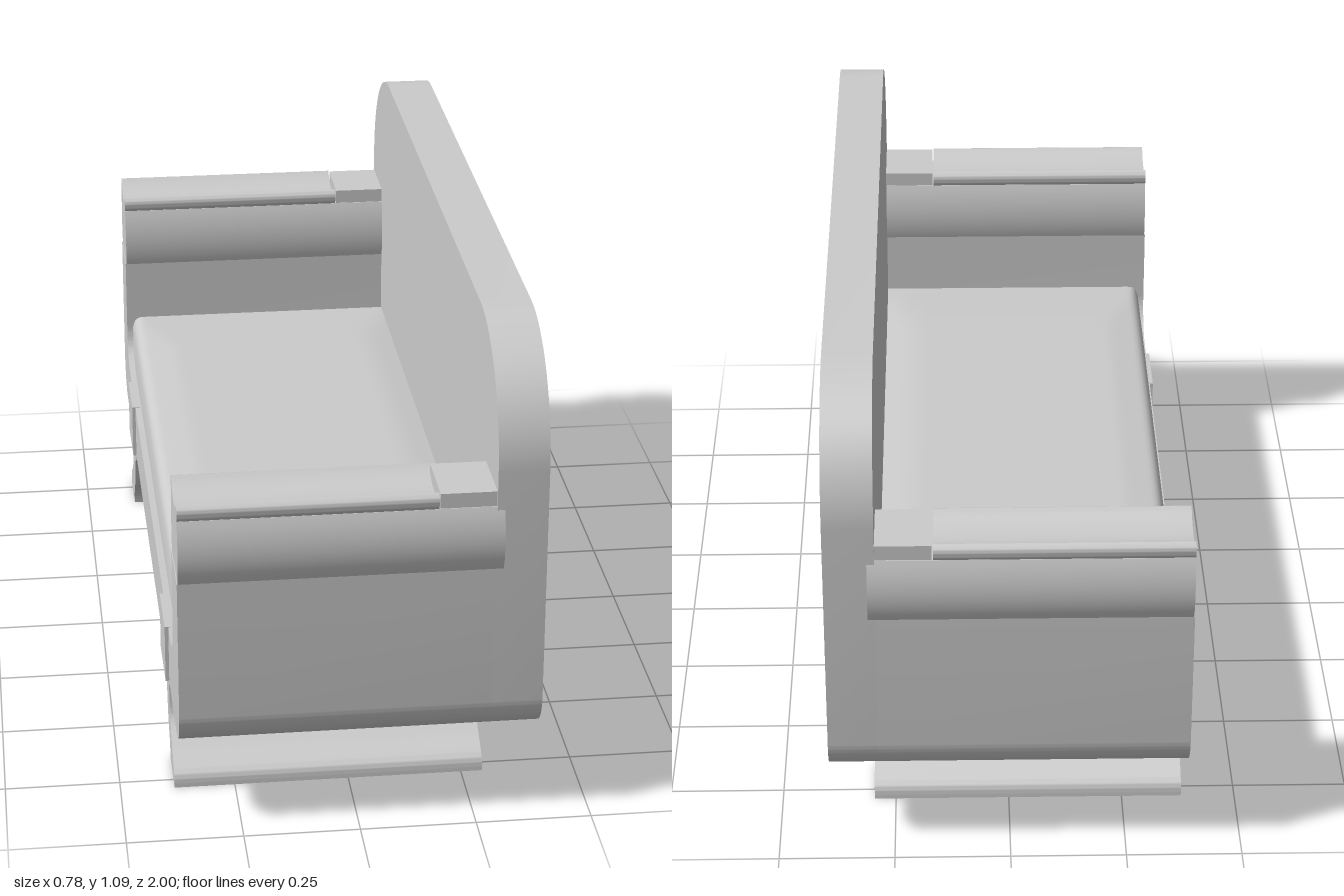
import * as THREE from 'three';
import { toCreasedNormals, mergeVertices } from 'three/addons/utils/BufferGeometryUtils.js';

const material = new THREE.MeshStandardMaterial({ color: 0xcccccc });

// Extrudes a cross-section drawn in (z, y) along x from x0 to x1
function extrudeX(name, shape, x0, x1) {
  const geo = new THREE.ExtrudeGeometry(shape, { depth: x1 - x0, bevelEnabled: false, curveSegments: 14 });
  geo.rotateY(Math.PI / 2).translate(x0, 0, 0);
  const mesh = new THREE.Mesh(toCreasedNormals(geo, 0.6), material);
  mesh.name = name;
  return mesh;
}

// Rounded panel, with separate radii for the top and bottom corners
function panelShape(w, y0, y1, rTop, rBottom) {
  const s = new THREE.Shape();
  s.moveTo(-w + rBottom, y0);
  s.lineTo(w - rBottom, y0);
  s.absarc(w - rBottom, y0 + rBottom, rBottom, -Math.PI / 2, 0, false);
  s.lineTo(w, y1 - rTop);
  s.absarc(w - rTop, y1 - rTop, rTop, 0, Math.PI / 2, false);
  s.lineTo(-w + rTop, y1);
  s.absarc(-w + rTop, y1 - rTop, rTop, Math.PI / 2, Math.PI, false);
  s.lineTo(-w, y0 + rBottom);
  s.absarc(-w + rBottom, y0 + rBottom, rBottom, Math.PI, Math.PI * 1.5, false);
  return s;
}

// U-shaped body: both arms and the seat base in one section
function bodyShape() {
  const w = 0.985, i = 0.825, y0 = 0.2, y1 = 0.6, rail = 0.335, r = 0.09;
  const s = new THREE.Shape();
  s.moveTo(-w + r, y0);
  s.lineTo(w - r, y0);
  s.absarc(w - r, y0 + r, r, -Math.PI / 2, 0, false);
  s.lineTo(w, y1);
  s.lineTo(i, y1);
  s.lineTo(i, rail + r);
  s.absarc(i - r, rail + r, r, 0, -Math.PI / 2, true);
  s.lineTo(-i + r, rail);
  s.absarc(-i + r, rail + r, r, -Math.PI / 2, -Math.PI, true);
  s.lineTo(-i, y1);
  s.lineTo(-w, y1);
  s.lineTo(-w, y0 + r);
  s.absarc(-w + r, y0 + r, r, Math.PI, Math.PI * 1.5, false);
  return s;
}

// Arm roll section: bulging sides
function armShape(m) {
  const s = new THREE.Shape();
  s.moveTo(m * 0.822, 0.6);
  s.lineTo(m * 0.985, 0.6);
  s.bezierCurveTo(m * 1.004, 0.64, m * 1.004, 0.69, m * 0.982, 0.742);
  s.lineTo(m * 0.83, 0.742);
  s.bezierCurveTo(m * 0.81, 0.69, m * 0.81, 0.64, m * 0.822, 0.6);
  return s;
}

// Arm pad section: rounded lips on both edges and a hollow top between them
function padShape(m) {
  const s = new THREE.Shape();
  s.moveTo(m * 0.835, 0.74);
  s.lineTo(m * 0.977, 0.74);
  s.bezierCurveTo(m * 0.994, 0.745, m * 0.994, 0.775, m * 0.977, 0.778);
  s.bezierCurveTo(m * 0.945, 0.74, m * 0.867, 0.74, m * 0.835, 0.778);
  s.bezierCurveTo(m * 0.818, 0.775, m * 0.818, 0.745, m * 0.835, 0.74);
  return s;
}

// Splayed leg section with an S-curve
function legShape(m) {
  const s = new THREE.Shape();
  const flip = pts => pts.map(([z, y]) => new THREE.Vector2(m * z, y));
  s.moveTo(m * 0.658, 0);
  s.lineTo(m * 0.785, 0);
  s.splineThru(flip([[0.777, 0.032], [0.72, 0.07], [0.668, 0.12], [0.66, 0.19]]));
  s.lineTo(m * 0.51, 0.19);
  s.splineThru(flip([[0.55, 0.17], [0.58, 0.144], [0.604, 0.085], [0.648, 0.035], [0.658, 0]]));
  return s;
}

function box(name, x0, x1, y0, y1, z0, z1) {
  const mesh = new THREE.Mesh(new THREE.BoxGeometry(x1 - x0, y1 - y0, Math.abs(z1 - z0)), material);
  mesh.position.set((x0 + x1) / 2, (y0 + y1) / 2, (z0 + z1) / 2);
  mesh.name = name;
  return mesh;
}

// Seat cushion: a box whose top rises over hipped borders to a flat centre,
// with a softly rounded front edge
function seatCushion() {
  const x0 = -0.367, x1 = 0.285, zw = 0.822, base = 0.3;
  let geo = new THREE.BoxGeometry(1, 1, 1, 32, 1, 30);
  const p = geo.attributes.position;
  for (let k = 0; k < p.count; k++) {
    const u = p.getX(k) + 0.5, z = p.getZ(k) * 2 * zw;
    const x = x0 + (x1 - x0) * u * (0.25 + 0.75 * u);
    const hip = Math.min(1, (x - x0) / 0.09, (x1 - x) / 0.07, (zw - Math.abs(z)) / 0.22);
    const edge = 1 - Math.min(1, (x - x0) / 0.025);
    const top = 0.452 + 0.012 * hip - 0.025 * (1 - Math.sqrt(1 - edge * edge));
    p.setXYZ(k, x, p.getY(k) > 0 ? top : base, z);
  }
  geo.deleteAttribute('normal');
  geo.deleteAttribute('uv');
  geo = toCreasedNormals(mergeVertices(geo), 0.9);
  const mesh = new THREE.Mesh(geo, material);
  mesh.name = 'seatCushion';
  return mesh;
}

export function createModel() {
  const sofa = new THREE.Group();
  sofa.name = 'sofa';

  sofa.add(extrudeX('backrest', panelShape(0.985, 0.2, 1.088, 0.27, 0.09), 0.281, 0.388));
  sofa.add(extrudeX('body', bodyShape(), -0.382, 0.281));
  sofa.add(seatCushion());

  for (const m of [1, -1]) {
    // Arm roll, the pad on top and the plain block behind the pad
    sofa.add(extrudeX('armRoll', armShape(m), -0.38, 0.297));
    sofa.add(extrudeX('armPad', padShape(m), -0.38, 0.16));
    sofa.add(box('armBlock', 0.163, 0.297, 0.735, 0.775, m * 0.832, m * 0.98));

    // Leg with its mounting plate and the front plate above it
    sofa.add(extrudeX('leg', legShape(m), -0.382, 0.297));
    sofa.add(box('legMount', -0.382, 0.297, 0.188, 0.203, m * 0.51, m * 0.67));
    sofa.add(box('frontPlate', -0.39, -0.37, 0.203, 0.336, m * 0.51, m * 0.67));
  }
  return sofa;
}
